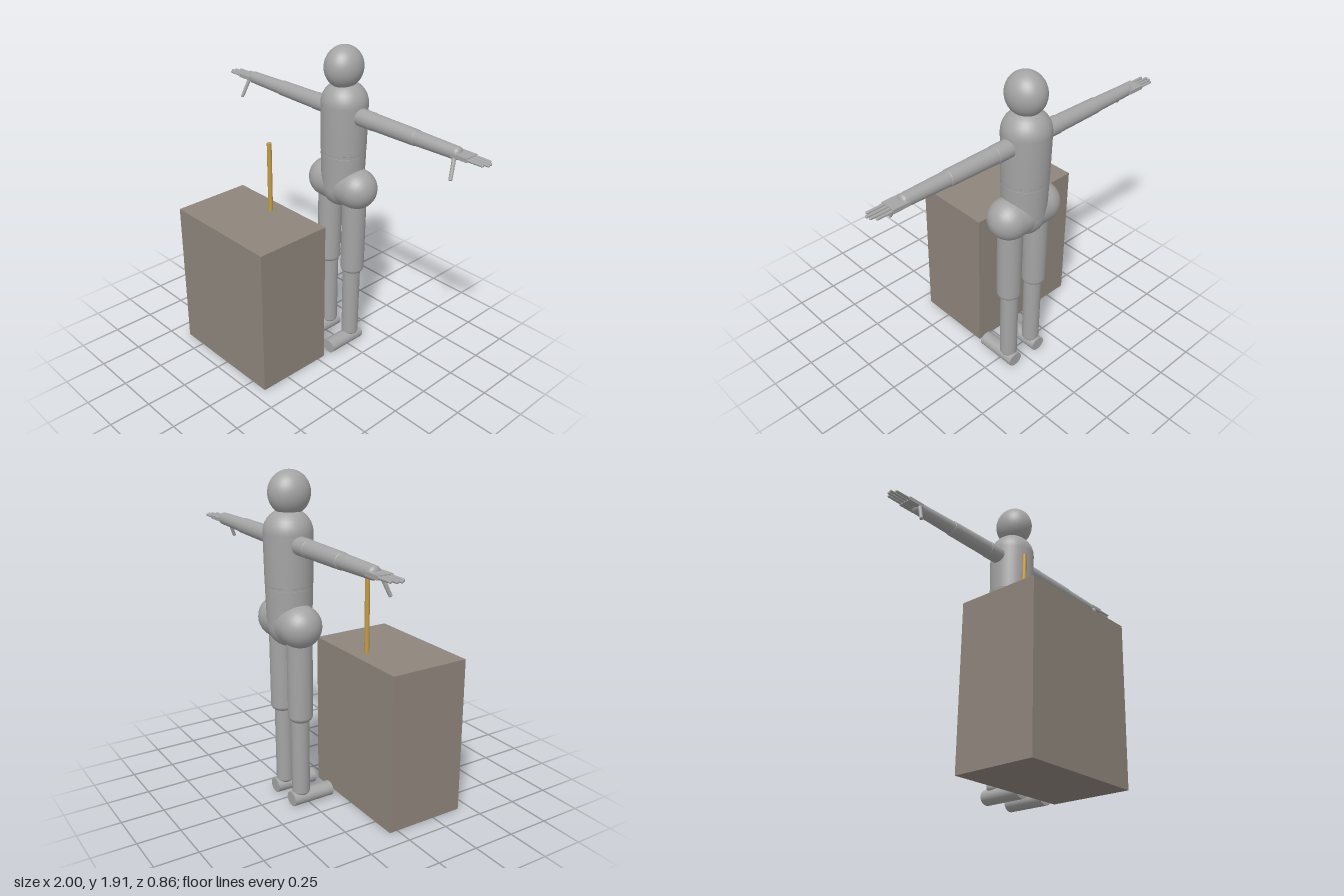
import * as THREE from 'three';

export function createModel() {
  const model = new THREE.Group();
  const mat = (name, color) => {
    const m = new THREE.MeshStandardMaterial({ color });
    m.name = name;
    return m;
  };
  const grey = mat('bodyGrey', 0xa4a4a4);
  const taupe = mat('tableTaupe', 0x8e857b);
  const ochre = mat('stickOchre', 0xc09a48);
  const Z = -0.294; // depth of the figure's centre line

  function add(name, geometry, material, parent = model) {
    const mesh = new THREE.Mesh(geometry, material);
    mesh.name = name;
    parent.add(mesh);
    return mesh;
  }

  // Round limb from a to b, with domed ends of depth capA and capB inside its length
  function limb(name, a, b, ra, rb, capA, capB, parent = model) {
    const start = new THREE.Vector3(...a), end = new THREE.Vector3(...b);
    const length = start.distanceTo(end);
    const points = [];
    const steps = 8;
    for (let i = 0; i <= steps; i++) {
      const t = (i / steps) * Math.PI / 2;
      points.push(new THREE.Vector2(ra * Math.sin(t), capA * (1 - Math.cos(t))));
    }
    for (let i = 0; i <= steps; i++) {
      const t = (i / steps) * Math.PI / 2;
      points.push(new THREE.Vector2(rb * Math.cos(t), length - capB * (1 - Math.sin(t))));
    }
    points[0].x = points[points.length - 1].x = 0;
    const mesh = add(name, new THREE.LatheGeometry(points, 32), grey, parent);
    mesh.position.copy(start);
    mesh.quaternion.setFromUnitVectors(new THREE.Vector3(0, 1, 0), end.sub(start).normalize());
    return mesh;
  }

  // Table block and upright stick
  add('tableBlock', new THREE.BoxGeometry(0.75, 0.915, 0.48), taupe).position.set(-0.265, 0.4575, 0.19);
  add('stick', new THREE.CylinderGeometry(0.014, 0.014, 0.43, 20), ochre).position.set(-0.265, 1.13, 0.04);

  // Head and torso
  const head = add('head', new THREE.SphereGeometry(1, 40, 28), grey);
  head.scale.set(0.106, 0.121, 0.118);
  head.position.set(0, 1.788, -0.283);
  limb('chest', [0, 1.28, Z], [0, 1.71, Z], 0.132, 0.136, 0.02, 0.13);
  limb('waist', [0, 1.12, Z], [0, 1.42, Z], 0.127, 0.133, 0.06, 0.02);
  limb('abdomen', [0, 0.945, Z], [0, 1.30, Z], 0.125, 0.131, 0.13, 0.02);
  limb('hips', [-0.235, 1.083, Z], [0.235, 1.083, Z], 0.12, 0.12, 0.12, 0.12);

  for (const s of [-1, 1]) {
    const side = new THREE.Group();
    side.name = s > 0 ? 'leftLimbs' : 'rightLimbs';
    model.add(side);

    // Leg and foot
    limb('upperLeg', [s * 0.1, 0.515, Z + 0.003], [s * 0.1, 1.08, Z + 0.003], 0.07, 0.072, 0.04, 0.04, side);
    limb('lowerLeg', [s * 0.094, 0.055, Z + 0.003], [s * 0.094, 0.56, Z + 0.003], 0.051, 0.053, 0.03, 0.03, side);
    const foot = add('foot', new THREE.CylinderGeometry(1, 1, 0.255, 32), grey, side);
    foot.scale.set(0.048, 1, 0.042);
    foot.rotation.x = Math.PI / 2;
    foot.position.set(s * 0.097, 0.042, -0.228);

    // Arm
    limb('shoulder', [s * 0.04, 1.527, Z], [s * 0.235, 1.527, Z], 0.051, 0.051, 0.03, 0.01, side);
    limb('upperArm', [s * 0.1, 1.527, Z], [s * 0.54, 1.527, Z], 0.05, 0.045, 0.03, 0.012, side);
    limb('forearm', [s * 0.5, 1.527, Z], [s * 0.82, 1.527, Z], 0.042, 0.036, 0.02, 0.025, side);

    // Hand with four fingers and a hanging thumb
    add('palm', new THREE.BoxGeometry(0.1, 0.022, 0.088), grey, side).position.set(s * 0.835, 1.527, Z);
    [0.98, 1.0, 0.995, 0.975].forEach((tip, i) => {
      const z = Z + 0.034 - i * 0.0227;
      limb('finger', [s * 0.87, 1.527, z], [s * tip, 1.527, z], 0.0085, 0.0075, 0.005, 0.005, side);
    });
    limb('thumb', [s * 0.8, 1.535, -0.268], [s * 0.824, 1.408, -0.216], 0.011, 0.01, 0.006, 0.006, side);
  }
  return model;
}
